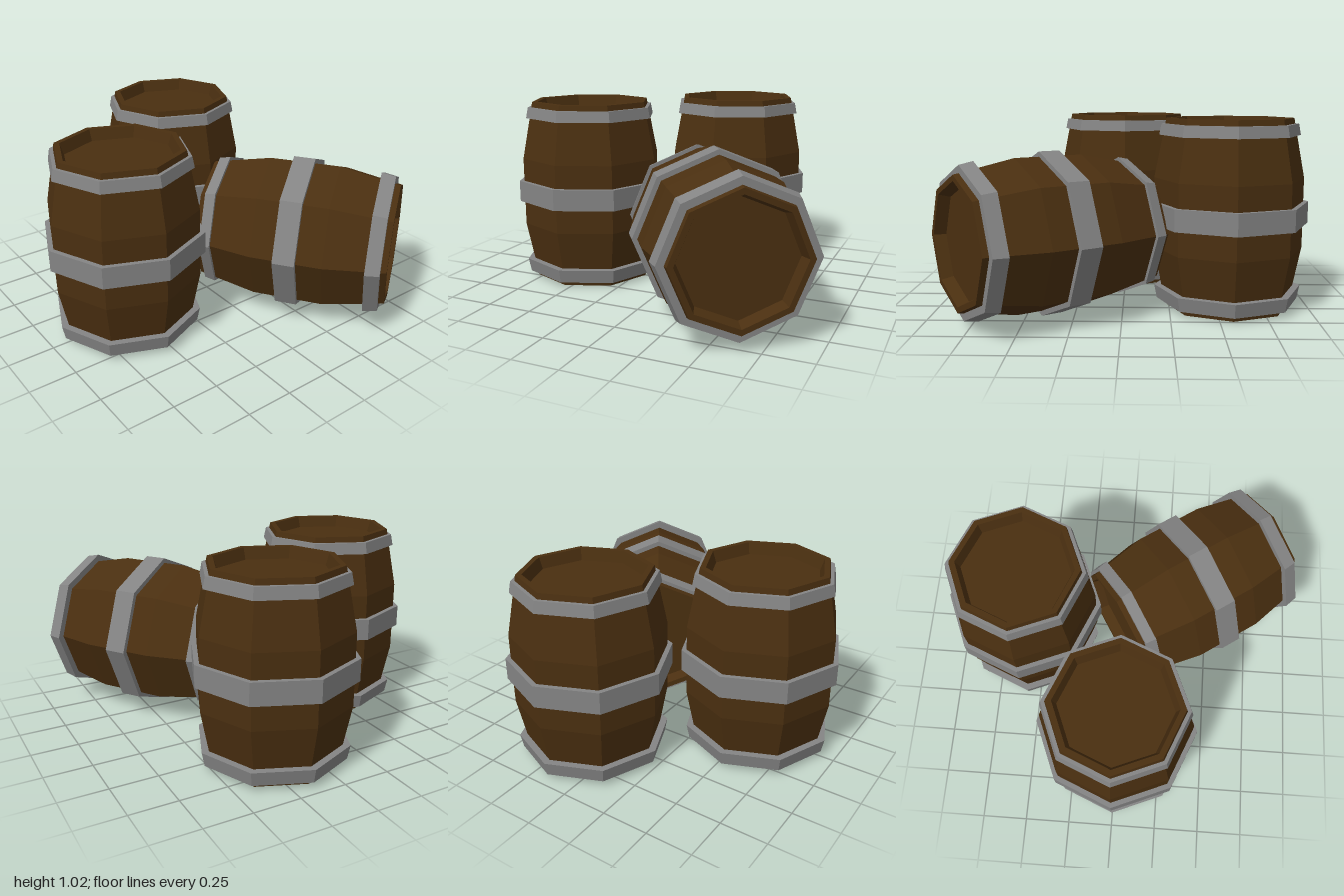
import * as THREE from 'three';

const SIDES = 8;
const wood = new THREE.MeshStandardMaterial({ color: 0x4a2f10, flatShading: true });
const iron = new THREE.MeshStandardMaterial({ color: 0x848484, flatShading: true });

// Eight-sided solid of revolution from [radius, height] pairs
function turned(name, profile, material) {
  const points = profile.map(([r, y]) => new THREE.Vector2(r, y));
  const mesh = new THREE.Mesh(new THREE.LatheGeometry(points, SIDES), material);
  mesh.name = name;
  return mesh;
}

// Iron band: closed loop around the staves
function hoop(name, y0, r0, y1, r1, inner) {
  return turned(name, [[inner, y0], [r0, y0], [r1, y1], [inner, y1], [inner, y0]], iron);
}

// Barrel standing on y = 0
function barrel(name) {
  const group = new THREE.Group();
  group.name = name;
  group.add(
    // Bulging staves with a recessed lid at each end
    turned('staves', [
      [0, 0.06], [0.29, 0.06], [0.31, 0], [0.34, 0],
      [0.403, 0.32], [0.403, 0.7],
      [0.34, 1.02], [0.31, 1.02], [0.29, 0.96], [0, 0.96],
    ], wood),
    hoop('lowerHoop', 0.03, 0.385, 0.105, 0.4, 0.34),
    hoop('middleHoop', 0.455, 0.43, 0.572, 0.43, 0.39),
    hoop('upperHoop', 0.93, 0.378, 0.99, 0.366, 0.34),
  );
  return group;
}

export function createModel() {
  const model = new THREE.Group();
  model.name = 'barrels';

  // Two upright barrels
  const left = barrel('uprightBarrelSide');
  left.position.set(-0.54, 0, 0);
  const back = barrel('uprightBarrelBack');
  back.position.set(0.15, 0, -0.57);

  // Barrel lying on its side, its bottom turned to the front
  const lying = barrel('lyingBarrel');
  const yaw = THREE.MathUtils.degToRad(34.5);
  lying.rotation.set(-Math.PI / 2, yaw, 0, 'YXZ');
  lying.position.set(0.38 + 0.51 * Math.sin(yaw), 0.43, 0.375 + 0.51 * Math.cos(yaw));

  model.add(left, back, lying);
  return model;
}
